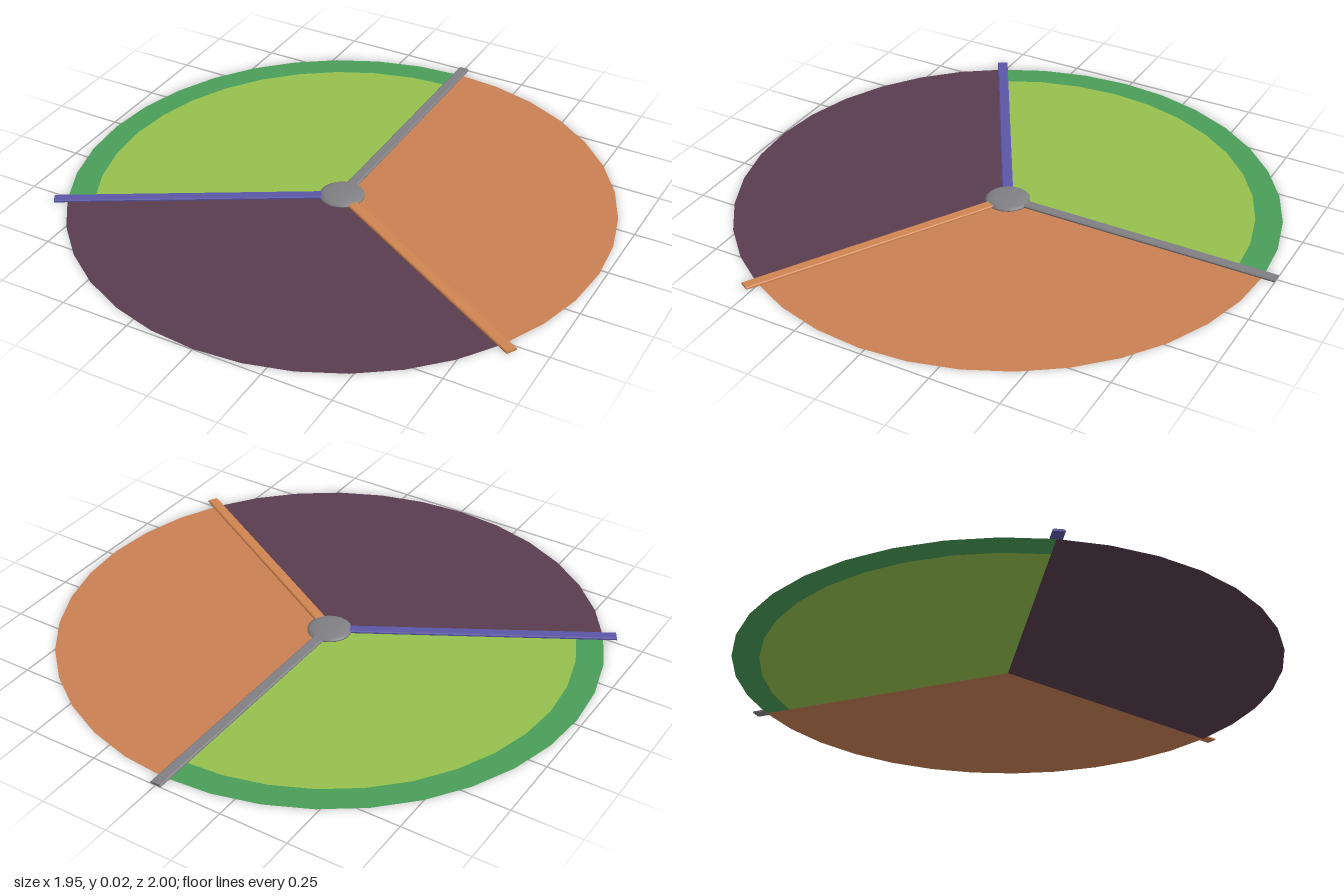
import * as THREE from 'three';

const RADIUS = 0.976, INNER = 0.88, BAR_LENGTH = 1.022, THIRD = Math.PI * 2 / 3;
const rad = THREE.MathUtils.degToRad;

function paint(name, color, doubleSided) {
  const m = new THREE.MeshStandardMaterial({ color });
  m.name = name;
  if (doubleSided) m.side = THREE.DoubleSide;
  return m;
}

export function createModel() {
  const model = new THREE.Group();
  model.name = 'dividedDisc';

  const add = (name, geometry, material) => {
    const mesh = new THREE.Mesh(geometry, material);
    mesh.name = name;
    model.add(mesh);
    return mesh;
  };

  // Paper-thin third of the disc, 12 straight edges along the rim
  const sector = (name, material, startDeg, inner, outer) => {
    const g = inner > 0
      ? new THREE.RingGeometry(inner, outer, 12, 1, rad(startDeg), THIRD)
      : new THREE.CircleGeometry(outer, 12, rad(startDeg), THIRD);
    add(name, g.rotateX(-Math.PI / 2), material);
  };
  sector('copperSector', paint('copper', 0xc98052, true), -30, 0, RADIUS);
  sector('plumSector', paint('plum', 0x583c4e, true), 210, 0, RADIUS);
  sector('limeSector', paint('lime', 0x95c04e, true), 90, 0, INNER);
  sector('greenRim', paint('green', 0x4a9d58, true), 90, INNER, RADIUS);

  // Dividing bars: flat strips with chamfered top edges
  const profile = new THREE.Shape([
    [-0.02, 0.001], [0.02, 0.001], [0.02, 0.006], [0.016, 0.009], [-0.016, 0.009], [-0.02, 0.006],
  ].map(([x, y]) => new THREE.Vector2(x, y)));
  const grey = paint('grey', 0x808084);
  const bars = [
    ['greyBar', grey, 180],
    ['orangeBar', paint('orange', 0xd08450), 60],
    ['indigoBar', paint('indigo', 0x5a56a6), -60],
  ];
  for (const [name, material, deg] of bars) {
    const g = new THREE.ExtrudeGeometry(profile, { depth: BAR_LENGTH, bevelEnabled: false });
    add(name, g, material).rotation.y = rad(deg);
  }

  // Low domed hub over the bar ends
  const hub = [[0, 0.001], [0.08, 0.001], [0.08, 0.006], [0.068, 0.012], [0.045, 0.016], [0, 0.017]];
  add('hub', new THREE.LatheGeometry(hub.map(([x, y]) => new THREE.Vector2(x, y)), 36), grey);

  // Centre the whole footprint
  model.children.forEach((part) => { part.position.z = 0.022; });
  return model;
}
